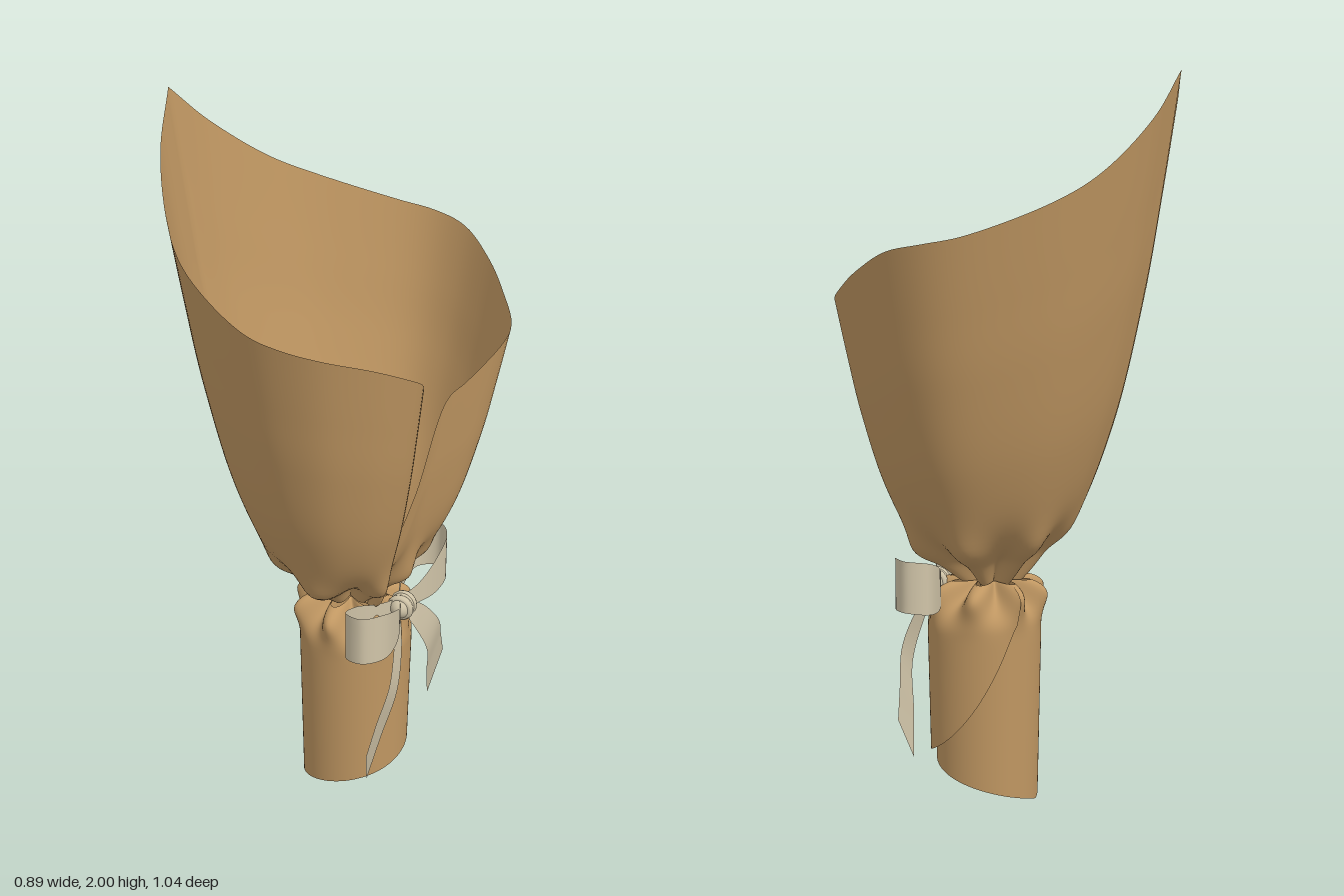
import * as THREE from 'three';

const paper = new THREE.MeshStandardMaterial({ color: 0xc09762, side: THREE.DoubleSide });
paper.name = 'kraft paper';
const satin = new THREE.MeshStandardMaterial({ color: 0xd0c4a8, side: THREE.DoubleSide });
satin.name = 'cream ribbon';

const NECK = 0.62;
const V = (x, y, z) => new THREE.Vector3(x, y, z);
const curve = (pts) => new THREE.CatmullRomCurve3(pts.map((p) => V(...p)));

// Smooth grid surface from a point rule on [0..nu] x [0..nv]
function surface(name, material, nu, nv, rule) {
  const pos = [], idx = [];
  for (let i = 0; i <= nu; i++) for (let j = 0; j <= nv; j++) pos.push(...rule(i, j).toArray());
  for (let i = 0; i < nu; i++) for (let j = 0; j < nv; j++) {
    const a = i * (nv + 1) + j, b = a + nv + 1;
    idx.push(a, b, a + 1, b, b + 1, a + 1);
  }
  const g = new THREE.BufferGeometry();
  g.setAttribute('position', new THREE.Float32BufferAttribute(pos, 3));
  g.setIndex(idx);
  g.computeVertexNormals();
  const mesh = new THREE.Mesh(g, material);
  mesh.name = name;
  return mesh;
}

// Gathered folds, strongest where the ribbon ties the paper
const pleat = (phi, y, reach) =>
  1 + 0.4 * Math.exp(-(((y - NECK) / reach) ** 2)) * Math.cos(8 * phi + 0.6 * Math.sin(2 * phi));

// Angle runs from the tall back corner (-x), positive towards +z
const around = (cx, r, phi, y) => V(cx - r * Math.cos(phi), y, r * Math.sin(phi));

// Flared upper wrap: each column runs from the neck to the rim of the sheet
function upperWrap() {
  const half = (side, rest) => curve([
    [-0.445, 2, 0], [-0.4, 1.875, 0.14], [-0.3, 1.74, 0.3], [-0.2, 1.67, 0.4],
    [0, 1.59, 0.505], [0.1, 1.57, 0.52],
  ].map(([x, y, z]) => [x, y, z * side]).concat(rest)).getSpacedPoints(110);

  // This flap curls to the inside
  const inner = half(1, [
    [0.2, 1.55, 0.5], [0.3, 1.51, 0.42], [0.35, 1.46, 0.33], [0.365, 1.42, 0.26],
    [0.34, 1.36, 0.17], [0.3, 1.31, 0.09], [0.25, 1.27, 0.02], [0.2, 1.12, -0.06],
    [0.13, 0.88, -0.1], [0.09, 0.7, -0.05]]);
  // This flap laps over the outside
  const outer = half(-1, [
    [0.2, 1.55, -0.49], [0.3, 1.5, -0.41], [0.38, 1.45, -0.31], [0.44, 1.4, -0.21],
    [0.435, 1.37, -0.15], [0.38, 1.3, -0.04], [0.35, 1.27, 0.02], [0.29, 1, 0.09],
    [0.22, 0.8, 0.12], [0.14, 0.68, 0.06]]);

  const cx = 0.07;
  const column = (p, side) => {
    let phi = Math.atan2(p.z, cx - p.x);
    if (phi * side < -0.01) phi += side * 2 * Math.PI;
    return { phi, top: p.y, r: Math.hypot(p.x - cx, p.z) };
  };
  const columns = [
    ...outer.slice(1).reverse().map((p) => column(p, -1)),
    ...inner.map((p) => column(p, 1)),
  ];
  const profile = new THREE.SplineCurve([
    [0, 0], [0.14, 0.06], [0.4, 0.14], [0.64, 0.35], [0.81, 0.6], [0.91, 0.8], [1, 1],
  ].map((p) => new THREE.Vector2(...p)));
  const rows = 48;
  return surface('upperWrap', paper, columns.length - 1, rows, (i, j) => {
    const { phi, top, r } = columns[i];
    const k = profile.getPoint(j / rows);
    const y = THREE.MathUtils.lerp(NECK, top, k.y);
    const rad = THREE.MathUtils.lerp(0.06, r, k.x) * pleat(phi, y, 0.11);
    return around(cx, rad, phi, y);
  });
}

// Rolled lower wrap: a spiral tube with a slanting free edge
function lowerWrap() {
  const nu = 200, nv = 36, from = -4.2, to = 5.5;
  return surface('lowerWrap', paper, nu, nv, (i, j) => {
    const phi = THREE.MathUtils.lerp(from, to, i / nu);
    const a = Math.abs(phi), d = Math.max(0, a - Math.PI);
    const bottom = 0.04 * (a - d) + 0.03 * d + 0.025 * d ** 3;
    const y = THREE.MathUtils.lerp(bottom, NECK + 0.005, 1 - (1 - j / nv) ** 2);
    const k = Math.max(0, (y - 0.5) / 0.13);
    const r = 0.055 + (0.088 + 0.0025 * phi + 0.01 * Math.min(1, y / 0.5)) * Math.sqrt(Math.max(0, 1 - k * k));
    return around(0.085 - 0.015 * Math.min(1, k), r * pleat(phi, y, 0.06), phi, y);
  });
}

// Ribbon strip stretched between two edge curves
function ribbon(name, edgeA, edgeB) {
  const a = curve(edgeA), b = curve(edgeB), n = 48, m = 6;
  return surface(name, satin, n, m, (i, j) => a.getPoint(i / n).lerp(b.getPoint(i / n), j / m));
}

function bow() {
  const group = new THREE.Group();
  group.name = 'bow';
  for (const side of [1, -1]) {
    const label = side > 0 ? 'front' : 'back';
    // Loop path seen from above: x, z, centre height, half width
    const path = [
      [0.225, 0.015, 0.607, 0.022], [0.25, 0.07, 0.612, 0.032], [0.27, 0.15, 0.628, 0.055],
      [0.268, 0.24, 0.648, 0.07], [0.225, 0.287, 0.65, 0.07], [0.17, 0.265, 0.643, 0.07],
      [0.165, 0.18, 0.625, 0.06], [0.19, 0.08, 0.608, 0.035], [0.21, 0.015, 0.605, 0.022],
    ];
    const edge = (s) => path.map(([x, z, y, w]) => [x, y + s * w, z * side]);
    group.add(ribbon(label + 'Loop', edge(1), edge(-1)));

    // Hanging tail with a slanted cut end
    const flip = (pts) => pts.map(([x, y, z]) => [x, y, z * side]);
    group.add(ribbon(label + 'Tail',
      flip([[0.225, 0.615, 0.02], [0.25, 0.55, 0.11], [0.268, 0.46, 0.19], [0.255, 0.37, 0.25], [0.245, 0.29, 0.298]]),
      flip([[0.225, 0.585, 0.005], [0.25, 0.5, 0.055], [0.262, 0.4, 0.115], [0.24, 0.28, 0.175], [0.222, 0.17, 0.235]])));
  }
  // Knot with soft wrap folds
  const knot = new THREE.Mesh(new THREE.SphereGeometry(1, 24, 16), satin);
  knot.name = 'knot';
  knot.scale.set(0.034, 0.035, 0.042);
  knot.position.set(0.228, 0.605, 0);
  group.add(knot);
  for (const z of [-0.014, 0.014]) {
    const fold = new THREE.Mesh(new THREE.TorusGeometry(0.026, 0.012, 8, 24), satin);
    fold.name = 'knotFold';
    fold.position.set(0.228, 0.605, z);
    group.add(fold);
  }
  return group;
}

export function createModel() {
  const model = new THREE.Group();
  model.name = 'bouquetWrap';
  model.add(upperWrap(), lowerWrap(), bow());
  return model;
}
